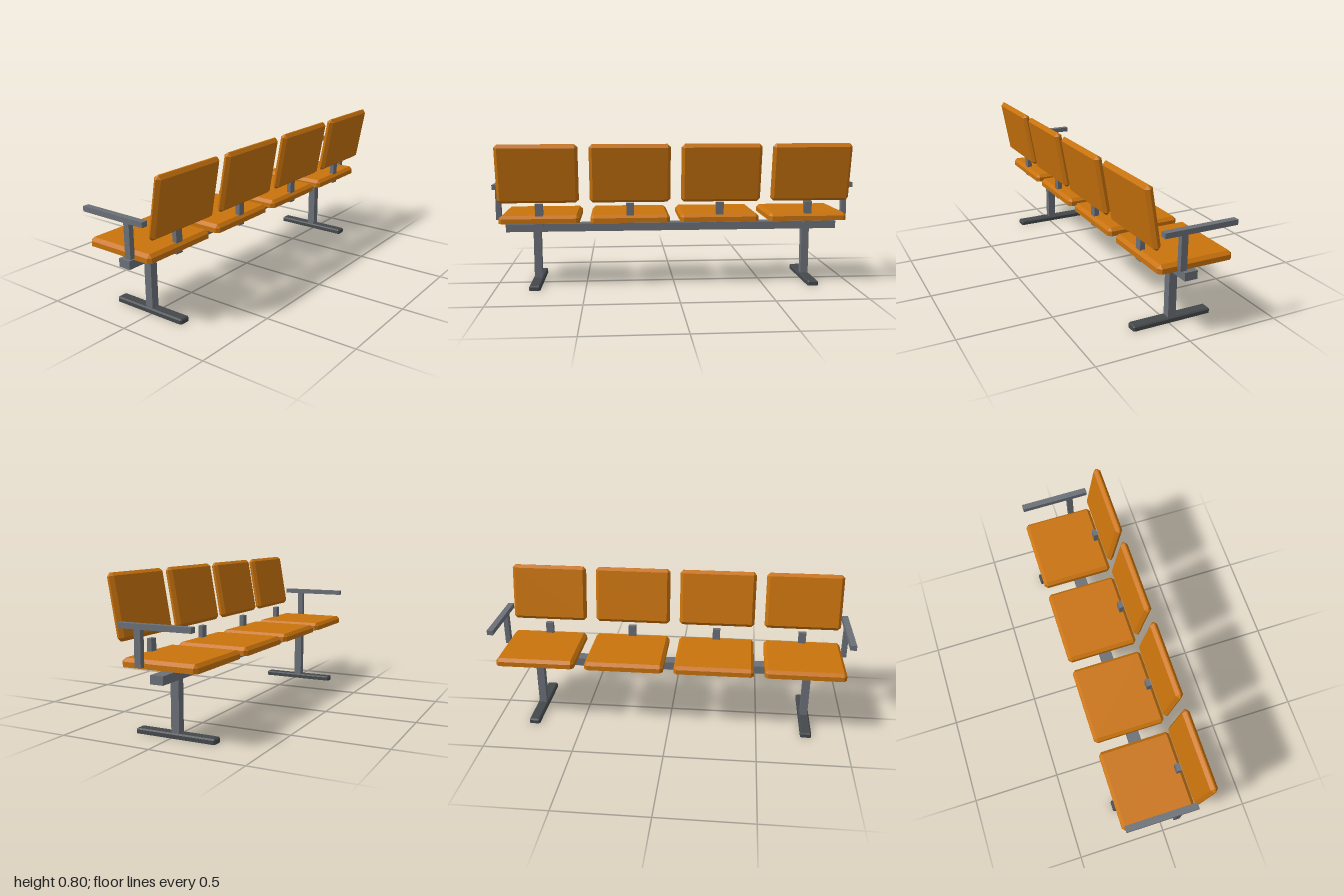
import * as THREE from 'three';
import { ConvexGeometry } from 'three/addons/geometries/ConvexGeometry.js';

// Block with chamfered edges, centred on its origin; flatBase leaves the bottom rim sharp
function chamferedBlock(w, h, d, b, flatBase = false) {
  const x = w / 2, y = h / 2, z = d / 2, points = [];
  for (const sx of [-1, 1]) for (const sy of [-1, 1]) for (const sz of [-1, 1]) {
    const add = (px, py, pz) => points.push(new THREE.Vector3(sx * px, sy * py, sz * pz));
    const sharp = flatBase && sy < 0;
    const rim = sharp ? y : y - b;
    add(x, rim, z - b);
    add(x - b, rim, z);
    if (!sharp) add(x - b, y, z - b);
  }
  return new ConvexGeometry(points);
}

export function createModel() {
  const group = new THREE.Group();
  const material = (name, color) => {
    const m = new THREE.MeshStandardMaterial({ color });
    m.name = name;
    return m;
  };
  const orange = material('orange plastic', 0xc9730c);
  const steel = material('grey steel', 0x6b7078);
  const dark = material('dark foot', 0x45494c);

  const add = (name, geometry, mat, x, y, z) => {
    const mesh = new THREE.Mesh(geometry, mat);
    mesh.name = name;
    mesh.position.set(x, y, z);
    group.add(mesh);
    return mesh;
  };

  // Four seats, each with a tilted backrest and a bracket
  const seat = chamferedBlock(0.441, 0.043, 0.409, 0.017, true);
  const backrest = chamferedBlock(0.441, 0.325, 0.041, 0.017);
  const bracket = new THREE.BoxGeometry(0.043, 0.125, 0.026);
  for (const x of [-0.75, -0.25, 0.25, 0.75]) {
    add('seat', seat, orange, x, 0.389, -0.0385);
    add('backrest', backrest, orange, x, 0.644, 0.197).rotation.x = THREE.MathUtils.degToRad(10);
    add('backBracket', bracket, steel, x, 0.4125, 0.14);
  }

  // Long beam under the seats
  add('beam', new THREE.BoxGeometry(1.908, 0.044, 0.07), steel, 0, 0.318, -0.021);

  // Legs, feet and armrests on both sides
  const leg = new THREE.BoxGeometry(0.043, 0.274, 0.045);
  const foot = chamferedBlock(0.061, 0.027, 0.444, 0.007, true);
  const armrest = new THREE.BoxGeometry(0.034, 0.027, 0.393);
  const armPost = new THREE.BoxGeometry(0.028, 0.182, 0.035);
  for (const side of [-1, 1]) {
    add('leg', leg, steel, side * 0.779, 0.161, -0.021);
    add('foot', foot, dark, side * 0.779, 0.0135, -0.021);
    add('armrest', armrest, steel, side * 0.983, 0.568, -0.0395);
    add('armPost', armPost, steel, side * 0.983, 0.467, 0.051);
  }
  return group;
}
